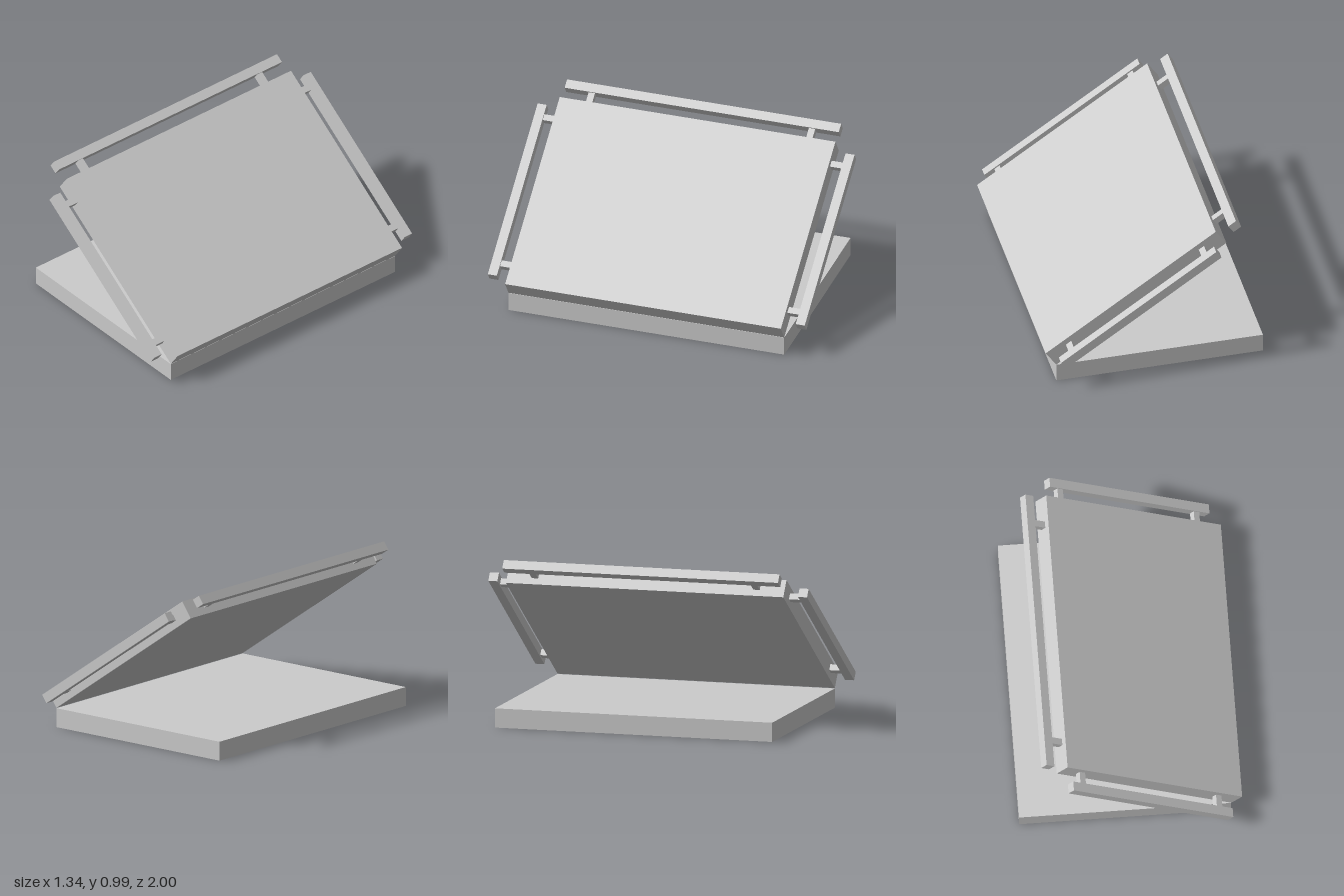
import * as THREE from 'three';

const material = new THREE.MeshStandardMaterial({ color: 0xcccccc, flatShading: true });

// Box given by its size and centre
function box(parent, name, [w, h, d], [x, y, z]) {
  const mesh = new THREE.Mesh(new THREE.BoxGeometry(w, h, d), material);
  mesh.name = name;
  mesh.position.set(x, y, z);
  parent.add(mesh);
}

export function createModel() {
  const model = new THREE.Group();
  model.name = 'hingedCase';

  const length = 1.275, thick = 0.115, width = 1.74;
  const bar = 0.057, post = 0.04, mid = 0.06;

  // Flat base slab
  box(model, 'base', [length, 0.117, width], [-0.033, 0.0585, 0]);

  // Tilted lid: the group's origin is the hinge edge, the lid runs along local -x
  const lid = new THREE.Group();
  lid.name = 'lid';
  lid.position.set(0.605, 0.119, 0);
  lid.rotation.z = THREE.MathUtils.degToRad(-34.6);
  model.add(lid);
  box(lid, 'lidPanel', [length, thick, width], [-length / 2, thick / 2, 0]);

  // Rail along the free edge
  box(lid, 'endRail', [bar, bar, 1.73], [-1.381, mid, 0]);

  for (const side of [1, -1]) {
    // Posts of the end rail
    box(lid, 'endRailPost', [0.08, post, post], [-1.314, mid, side * 0.695]);

    // Side rail with its two posts
    box(lid, 'sideRail', [1.164, bar, bar], [-0.64, mid, side * 0.9715]);
    for (const x of [-0.147, -1.143]) {
      box(lid, 'sideRailPost', [post, post, 0.075], [x, mid, side * 0.9065]);
    }
  }

  return model;
}
